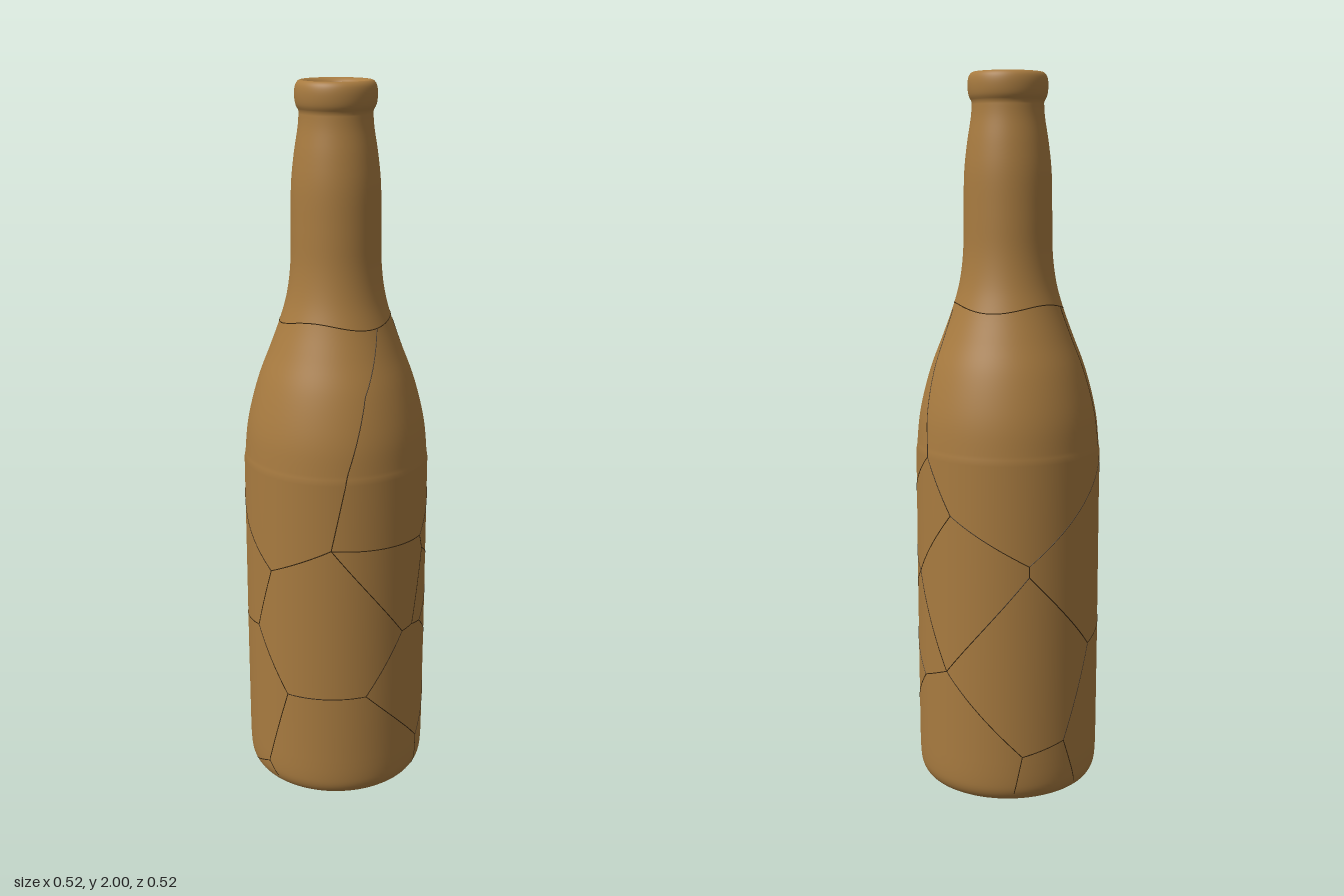
import * as THREE from 'three';

const V = (x, y) => new THREE.Vector2(x, y);
const smooth = (pts, n) => new THREE.SplineCurve(pts.map(p => V(...p))).getPoints(n);

// Outer wall, from the base corner up to the lip
const body = smooth([[0.222, 0], [0.242, 0.012], [0.254, 0.035], [0.258, 0.07], [0.259, 0.12]], 16);
const shoulder = smooth([
  [0.257, 0.985], [0.25, 1.06], [0.236, 1.13], [0.213, 1.21], [0.182, 1.29], [0.153, 1.37],
  [0.134, 1.44], [0.124, 1.52], [0.122, 1.62], [0.12, 1.73], [0.112, 1.81], [0.101, 1.88], [0.098, 1.92],
], 60);
const lip = smooth([
  [0.1, 1.926], [0.106, 1.938], [0.109, 1.955], [0.109, 1.975], [0.105, 1.991], [0.096, 2],
  [0.085, 1.998], [0.075, 1.988], [0.071, 1.97],
], 28);
const outer = [...body, V(0.26, 0.4), V(0.26, 0.968), ...shoulder];

// Inner wall, from the mouth down to the floor
const inner = smooth([
  [0.07, 1.93], [0.072, 1.85], [0.088, 1.73], [0.091, 1.5], [0.12, 1.37], [0.18, 1.2],
  [0.217, 1.06], [0.227, 0.95], [0.228, 0.5], [0.228, 0.12], [0.218, 0.07], [0.19, 0.05],
], 50);

// Outer radius at a given height
function radiusAt(y) {
  for (let i = 1; i < outer.length; i++) {
    const a = outer[i - 1], b = outer[i];
    if (y <= b.y) return THREE.MathUtils.mapLinear(y, a.y, b.y, a.x, b.x);
  }
  return outer[outer.length - 1].x;
}

function onSurface(deg, y) {
  const t = THREE.MathUtils.degToRad(deg), r = radiusAt(y) - 0.0004;
  return new THREE.Vector3(r * Math.sin(t), y, r * Math.cos(t));
}

// Crack junctions: angle from the front towards +x in degrees, height
const nodes = {
  a: [11, 0.78], a1: [21, 1.0], a2: [35, 1.2], a3: [59, 1.365],
  b: [-30, 0.69], b1: [-58, 0.79], c: [-44, 0.5], c1: [-74, 0.48],
  d: [-18, 0.32], d1: [-35, 0.07], d2: [-28, 0.03], d3: [-55, 0.03],
  e: [33, 0.325], f: [60, 0.5], j: [70, 0.505], k: [81, 0.495],
  g: [79, 0.765], g2: [83, 0.72], i: [116, 0.63],
  m: [123, 0.33], l: [146, 0.37], n: [79, 0.12], n1: [79, 0.02],
  p: [150, 0.82], v: [129, 0.97], v1: [109, 1.365],
  q: [200, 0.69], q2: [200, 0.66], r: [267, 0.94], r1: [258, 1.375],
  s: [247, 0.43], t: [224, 0.17], t1: [235, 0.03], u: [196, 0.14], u1: [191, 0.03],
};
const paths = [
  'a a1 a2 a3', 'a b', 'b c', 'c c1 s', 'b b1 r', 'c d', 'd e', 'd d1 d2', 'd1 d3', 'e f', 'f a',
  'a g', 'f j k', 'j g2', 'g g2', 'g2 i', 'k i', 'k m', 'm l', 'm n', 'n n1', 'n e', 'g v',
  'v v1', 'v p', 'i p', 'i l', 'p q', 'q q2', 'q r', 'r r1', 'q2 l', 'q2 s', 's t', 't u',
  't t1', 'u u1', 'u l',
];

export function createModel() {
  const group = new THREE.Group();
  const glass = new THREE.MeshStandardMaterial({ color: 0xa87b40 });
  const dark = new THREE.MeshStandardMaterial({ color: 0x3a2810 });

  // Hollow bottle turned in one piece, with a shallow hollow under the base
  const profile = [V(0, 0.02), V(0.1, 0.018), V(0.19, 0.008), V(0.212, 0.001),
    ...outer, ...lip, ...inner, V(0.1, 0.05), V(0, 0.05)];
  const bottle = new THREE.Mesh(new THREE.LatheGeometry(profile, 96), glass);
  bottle.name = 'bottle';
  group.add(bottle);

  // Hairline cracks wrapped on the outer wall
  const cracks = new THREE.Group();
  cracks.name = 'cracks';
  const addCrack = (points, closed, name) => {
    const curve = new THREE.CatmullRomCurve3(points, closed);
    const mesh = new THREE.Mesh(
      new THREE.TubeGeometry(curve, points.length * 2, 0.0016, 5, closed), dark);
    mesh.name = name;
    cracks.add(mesh);
  };
  for (const path of paths) {
    const stops = path.split(' ').map(key => nodes[key]);
    const points = [onSurface(...stops[0])];
    for (let i = 1; i < stops.length; i++) {
      const [a0, y0] = stops[i - 1], [a1, y1] = stops[i];
      const turn = ((a1 - a0 + 540) % 360) - 180;
      for (let k = 1; k <= 8; k++) points.push(onSurface(a0 + turn * k / 8, y0 + (y1 - y0) * k / 8));
    }
    addCrack(points, false, 'crack');
  }
  // Ring crack below the neck
  const ring = [];
  for (let i = 0; i < 48; i++) {
    const deg = i * 7.5;
    ring.push(onSurface(deg, 1.373 + 0.01 * Math.cos(THREE.MathUtils.degToRad(3 * deg + 30))));
  }
  addCrack(ring, true, 'neckCrack');
  group.add(cracks);
  return group;
}
